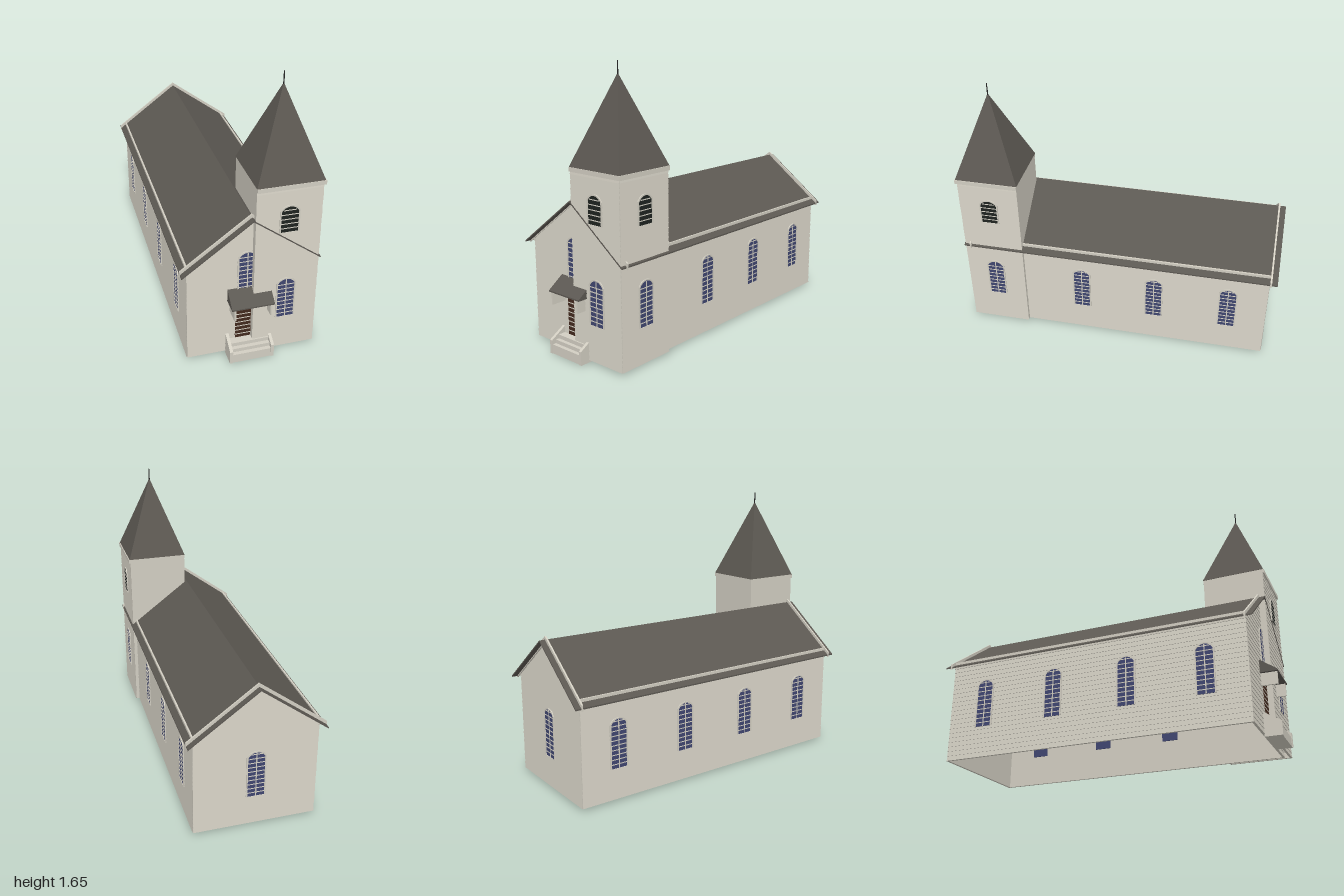
import * as THREE from 'three';

const mat = (name, color) => {
  const m = new THREE.MeshStandardMaterial({ color });
  m.name = name;
  return m;
};

export function createModel() {
  const cream = mat('cream wall', 0xd2cec2);
  const slate = mat('dark roof', 0x5c5852);
  const glass = mat('blue glass', 0x404670);
  const louvre = mat('black louvre', 0x1e2320);
  const wood = mat('brown door', 0x42291d);
  const iron = mat('iron', 0x262626);
  const root = new THREE.Group();
  root.name = 'church';

  const add = (name, geo, m, parent = root) => {
    const mesh = new THREE.Mesh(geo, m);
    mesh.name = name;
    parent.add(mesh);
    return mesh;
  };
  // box given by its limits on each axis
  const box = (name, m, x0, x1, y0, y1, z0, z1, parent = root) => {
    const mesh = add(name, new THREE.BoxGeometry(x1 - x0, y1 - y0, z1 - z0), m, parent);
    mesh.position.set((x0 + x1) / 2, (y0 + y1) / 2, (z0 + z1) / 2);
    return mesh;
  };
  // polygon in x,y extruded from z0 to z1
  const slab = (name, m, pts, z0, z1, parent = root) => {
    const s = new THREE.Shape(pts.map(p => new THREE.Vector2(...p)));
    const mesh = add(name, new THREE.ExtrudeGeometry(s, { depth: z1 - z0, bevelEnabled: false }), m, parent);
    mesh.position.z = z0;
    return mesh;
  };
  // polygon in z,y extruded from x0 to x1
  const sideSlab = (name, m, pts, x0, x1) => {
    const mesh = slab(name, m, pts.map(([z, y]) => [-z, y]), 0, x1 - x0);
    mesh.rotation.y = Math.PI / 2;
    mesh.position.set(x0, 0, 0);
    return mesh;
  };
  // local frame on a wall, +z pointing outwards
  const frameAt = (name, x, y, z, turn) => {
    const g = new THREE.Group();
    g.name = name;
    g.position.set(x, y, z);
    g.rotation.y = turn;
    root.add(g);
    return g;
  };

  // overlapping clapboards: each board leans out at its lower edge
  const PITCH = 0.028, LIP = 0.004;
  const siding = (name, x, z, turn, y0, y1, left, right) => {
    const pos = [];
    const quad = (a, b, c, d) => pos.push(...a, ...b, ...c, ...a, ...c, ...d);
    for (let y = y0; y < y1 - 1e-4; y += PITCH) {
      const t = Math.min(y + PITCH, y1);
      quad([left(y), y, LIP], [right(y), y, LIP], [right(t), t, 0.0005], [left(t), t, 0.0005]);
      quad([left(y), y, 0], [right(y), y, 0], [right(y), y, LIP], [left(y), y, LIP]);
    }
    const geo = new THREE.BufferGeometry();
    geo.setAttribute('position', new THREE.Float32BufferAttribute(pos, 3));
    geo.computeVertexNormals();
    add(name, geo, cream, frameAt(name + 'Frame', x, 0, z, turn));
  };

  // outline with a segmental arch on top
  const arch = (C, w, h, rise) => {
    const s = new C(), r = (w * w / 4 + rise * rise) / (2 * rise), a = Math.asin(w / 2 / r);
    s.moveTo(-w / 2, 0);
    s.lineTo(w / 2, 0);
    s.lineTo(w / 2, h - rise);
    s.absarc(0, h - r, r, Math.PI / 2 - a, Math.PI / 2 + a, false);
    s.lineTo(-w / 2, 0);
    return s;
  };
  const archWindow = (name, x, y, z, turn, h, pane, mullion) => {
    const w = 0.1, g = frameAt(name, x, y, z, turn);
    add('pane', new THREE.ExtrudeGeometry(arch(THREE.Shape, w, h, 0.032),
      { depth: 0.021, bevelEnabled: false, curveSegments: 8 }), pane, g).position.z = -0.016;
    const rim = arch(THREE.Shape, w + 0.014, h + 0.007, 0.035);
    rim.holes.push(arch(THREE.Path, w - 0.002, h - 0.001, 0.032));
    add('windowFrame', new THREE.ExtrudeGeometry(rim,
      { depth: 0.008, bevelEnabled: false, curveSegments: 8 }), cream, g);
    for (let b = 0.022; b < h - 0.015; b += PITCH) {
      const half = b > h - 0.03 ? 0.036 : 0.049;
      box('glazingBar', cream, -half, half, b, b + 0.005, 0.004, 0.007, g);
    }
    if (mullion) box('mullion', cream, -0.003, 0.003, 0, h - 0.004, 0.004, 0.007, g);
  };

  // nave walls, open underneath
  const W = 0.36, BASE = 0.015, BACK = -0.955, FRONT = 0.9, RIDGE = 0.89, SLOPE = 0.747;
  const half = y => Math.min(W, Math.max(0, (RIDGE - y) / SLOPE));
  const gable = [[-W, BASE], [W, BASE], [W, RIDGE - W * SLOPE], [0, RIDGE], [-W, RIDGE - W * SLOPE]];
  slab('backWall', cream, gable, BACK, BACK + 0.01);
  slab('frontWall', cream, gable, FRONT - 0.01, FRONT);
  siding('frontSiding', 0, FRONT, 0, BASE, RIDGE, y => -half(y), half);
  siding('backSiding', 0, BACK, Math.PI, BASE, RIDGE, y => -half(y), half);
  for (const s of [-1, 1]) {
    const x = s * W;
    box('sideWall', cream, x - (s > 0 ? 0.01 : 0), x + (s > 0 ? 0 : 0.01), BASE, 0.62, BACK, FRONT);
    siding('sideSiding', x, 0, s * Math.PI / 2, BASE, 0.615,
      () => s > 0 ? -FRONT : BACK, () => s > 0 ? -BACK : FRONT);
    // board along the eave
    box('eaveTrim', cream, x - 0.005, x + 0.005, 0.6, 0.644, -0.96, s > 0 ? 0.57 : 0.905);
    for (const z of s > 0 ? [-0.72, -0.26, 0.2] : [-0.72, -0.26, 0.2, 0.66])
      archWindow('sideWindow', x, 0.2, z, s * Math.PI / 2, 0.29, glass, true);
  }
  archWindow('backWindow', 0, 0.2, BACK, Math.PI, 0.29, glass, true);
  archWindow('entryWindow', -0.015, 0.4, FRONT, 0, 0.28, glass, true);

  // nave roof and the boards along its gables
  const chevron = (top, t, w = 0.396) => [[-w, top - w * SLOPE], [-w, top - w * SLOPE - t], [0, top - t],
    [w, top - w * SLOPE - t], [w, top - w * SLOPE], [0, top]];
  slab('naveRoof', slate, chevron(0.9, 0.008), -1, 0.943);
  slab('backRakeBoard', cream, chevron(0.92, 0.035, 0.399), -0.966, -0.956);
  slab('frontRakeBoard', cream, chevron(0.92, 0.035, 0.399), 0.897, 0.907);

  // tower
  const TL = 0.012, TR = 0.384, TB = 0.57, TF = 0.938, TOP = 1.07;
  box('towerFrontWall', cream, TL, TR, BASE, TOP, TF - 0.01, TF);
  box('towerSideWall', cream, TR - 0.01, TR, BASE, TOP, TB, TF);
  box('towerReturn', cream, TL, TL + 0.01, BASE, TOP, FRONT, TF);
  box('towerInnerWall', cream, TL, TL + 0.01, 0.88, TOP, TB, FRONT);
  slab('towerBackWall', cream, [[TL, 0.885], [TR, 0.605], [TR, TOP], [TL, TOP]], TB, TB + 0.01);
  box('towerCorner', cream, W, TR, BASE, 0.63, TB, TB + 0.01);
  siding('towerFrontSiding', 0, TF, 0, BASE, TOP, () => TL, () => TR);
  siding('towerSideSiding', TR, 0, Math.PI / 2, BASE, TOP, () => -TF, () => -TB);
  box('towerCornice', cream, TL, 0.395, 1.065, 1.09, 0.567, 0.948);
  for (const [x, z, turn] of [[0.2, TF, 0], [TR, 0.755, Math.PI / 2]]) {
    archWindow('towerWindow', x, 0.23, z, turn, 0.26, glass, true);
    archWindow('belfryLouvre', x, 0.8, z, turn, 0.16, louvre, false);
  }

  // spire and finial
  const spire = new THREE.ConeGeometry(0.19 * Math.SQRT2, 0.497, 4, 1);
  spire.rotateY(Math.PI / 4);
  const flat = spire.toNonIndexed();
  flat.computeVertexNormals();
  add('spire', flat, slate).position.set(0.2, 1.3385, 0.755);
  add('finial', new THREE.CylinderGeometry(0.003, 0.004, 0.08, 8), iron).position.set(0.2, 1.61, 0.755);

  // entrance door
  box('door', wood, -0.08, 0.065, 0.1, 0.34, FRONT - 0.016, FRONT + 0.005);
  for (let y = 0.122; y < 0.33; y += PITCH)
    box('doorBar', cream, -0.08, 0.01, y, y + 0.005, FRONT + 0.004, FRONT + 0.007);

  // porch roof on two brackets
  sideSlab('porchRoof', slate, [[0.9, 0.37], [1, 0.37], [1, 0.378], [0.9, 0.45]], -0.128, 0.118);
  for (const x of [-0.113, 0.095]) box('porchBracket', cream, x, x + 0.01, 0.297, 0.37, 0.9, 0.995);

  // steps between sloping side walls
  box('landing', cream, -0.118, 0.108, 0, 0.1, 0.9, 0.95);
  box('middleStep', cream, -0.118, 0.108, 0, 0.077, 0.95, 0.973);
  box('lowerStep', cream, -0.118, 0.108, 0, 0.055, 0.973, 0.996);
  for (const x of [-0.136, 0.107])
    sideSlab('stepSideWall', cream, [[0.9, 0], [1, 0], [1, 0.08], [0.9, 0.14]], x, x + 0.018);

  return root;
}
